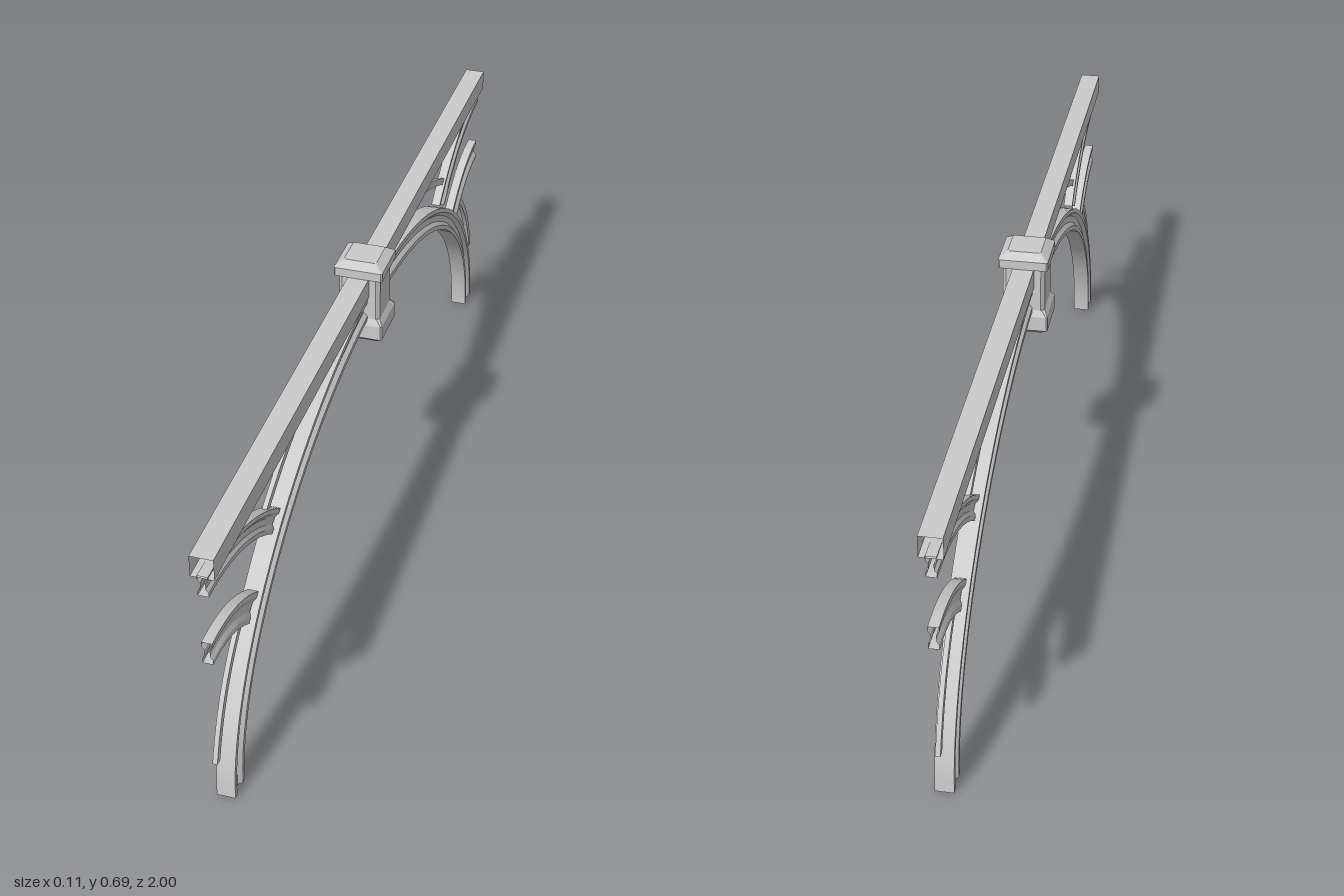
import * as THREE from 'three';
import { toCreasedNormals } from 'three/addons/utils/BufferGeometryUtils.js';

const material = new THREE.MeshStandardMaterial({ color: 0xcccccc, side: THREE.DoubleSide });

// Grid surface from closed rings of [x, y, z] points
function loft(rings, capped) {
  const n = rings[0].length, index = [];
  for (let i = 0; i < rings.length - 1; i++) {
    for (let j = 0; j < n; j++) {
      const a = i * n + j, b = i * n + (j + 1) % n;
      index.push(a, b, b + n, a, b + n, a + n);
    }
  }
  if (capped) {
    const top = (rings.length - 1) * n;
    for (let j = 1; j < n - 1; j++) index.push(0, j + 1, j, top, top + j, top + j + 1);
  }
  const geometry = new THREE.BufferGeometry();
  geometry.setAttribute('position', new THREE.Float32BufferAttribute(rings.flat(2), 3));
  geometry.setIndex(index);
  return toCreasedNormals(geometry, 0.4);
}

// Sweep a section between an inner and an outer curve; section = [x, 0..1 from inner to outer]
function sweep(section, inner, outer, steps) {
  const rings = [];
  for (let i = 0; i <= steps; i++) {
    const a = inner(i / steps), b = outer(i / steps);
    rings.push(section.map(([x, v]) => [x, a[1] + (b[1] - a[1]) * v, a[0] + (b[0] - a[0]) * v]));
  }
  return loft(rings, false);
}

// Girder section with a groove on each side
function girderSection(w, web) {
  const half = [[w, 0], [w, 0.2], [web, 0.36], [web, 0.64], [w, 0.8], [w, 1]];
  return [...half, ...half.map(([x, v]) => [-x, v]).reverse()];
}
const flatSection = (w) => [[w, 0], [w, 1], [-w, 1], [-w, 0]];

// Quadratic curve in the [z, y] plane
const bend = (p, c, q) => (t) => [0, 1].map((k) =>
  (1 - t) ** 2 * p[k] + 2 * t * (1 - t) * c[k] + t * t * q[k]);

// Half ellipse over the full span
const ellipse = (a, b) => (t) => [a * Math.cos(Math.PI * t), b * Math.sin(Math.PI * t)];

// Square ring with chamfered corners
function squareRing(y, r, c) {
  const k = r - c;
  return [[r, -k], [k, -r], [-k, -r], [-r, -k], [-r, k], [-k, r], [k, r], [r, k]]
    .reverse().map(([x, z]) => [x, y, z]).reverse();
}

export function createModel() {
  const group = new THREE.Group();
  const add = (name, geometry, parent = group) => {
    const mesh = new THREE.Mesh(geometry, material);
    mesh.name = name;
    parent.add(mesh);
    return mesh;
  };

  // Main arch
  add('arch', sweep(girderSection(0.0195, 0.011), ellipse(0.9, 0.55), ellipse(0.955, 0.605), 56));

  // Hollow top beam with open ends
  const beamRing = (z) => [[0.023, 0.61, z], [0.023, 0.656, z], [-0.023, 0.656, z], [-0.023, 0.61, z]];
  add('topBeam', loft([beamRing(1), beamRing(-1)], false));

  // Curved braces, repeated at both ends
  const braceSection = girderSection(0.0105, 0.005);
  const upperBrace = sweep(braceSection,
    bend([1, 0.568], [0.82, 0.565], [0.667, 0.443]),
    bend([1, 0.614], [0.8, 0.61], [0.615, 0.468]), 14);
  const lowerBrace = sweep(braceSection,
    bend([1, 0.403], [0.9, 0.405], [0.812, 0.336]),
    bend([1, 0.454], [0.87, 0.457], [0.755, 0.37]), 12);
  const upperStrut = sweep(flatSection(0.005),
    bend([0.665, 0.5], [0.48, 0.594], [0.27, 0.62]),
    bend([0.68, 0.51], [0.49, 0.61], [0.27, 0.638]), 12);
  const lowerStrut = sweep(flatSection(0.005),
    bend([0.985, 0.135], [0.94, 0.28], [0.835, 0.355]),
    bend([1, 0.138], [0.955, 0.29], [0.842, 0.37]), 12);
  for (const [side, turn] of [['front', 0], ['back', Math.PI]]) {
    const end = new THREE.Group();
    end.name = side + 'Braces';
    end.rotation.y = turn;
    add('upperBrace', upperBrace, end);
    add('lowerBrace', lowerBrace, end);
    add('upperStrut', upperStrut, end);
    add('lowerStrut', lowerStrut, end);
    group.add(end);
  }

  // Keystone block: base, chamfered shaft and bevelled cap
  const stack = (levels) => loft(levels.map(([y, r, c]) => squareRing(y, r, c)), true);
  add('keystoneBase', stack([[0.496, 0.042, 0.003], [0.507, 0.054, 0.003],
    [0.541, 0.054, 0.003], [0.555, 0.046, 0.006]]));
  add('keystoneShaft', stack([[0.545, 0.046, 0.008], [0.66, 0.046, 0.008]]));
  add('keystoneCap', stack([[0.657, 0.054, 0.003], [0.677, 0.054, 0.003], [0.691, 0.036, 0.003]]));

  return group;
}
